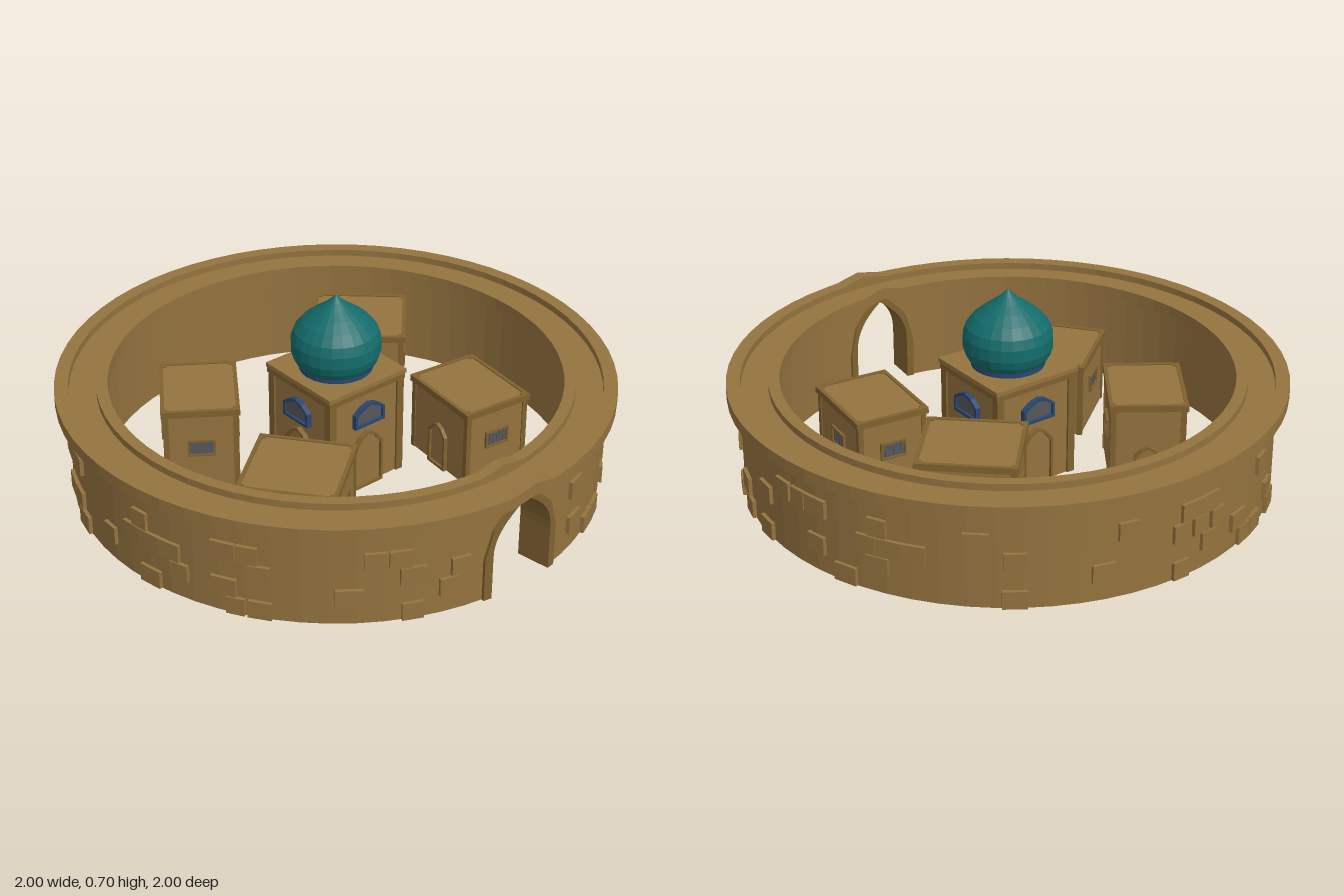
import * as THREE from 'three';

const mat = (color) => new THREE.MeshStandardMaterial({ color, flatShading: true });
const sand = mat(0x94733f), sandDark = mat(0x80622f), teal = mat(0x146c6c), blue = mat(0x2a4670), glass = mat(0x55575a);

function add(parent, name, geometry, material, x = 0, y = 0, z = 0) {
  const m = new THREE.Mesh(geometry, material);
  m.name = name;
  m.position.set(x, y, z);
  parent.add(m);
  return m;
}
const box = (w, h, d) => new THREE.BoxGeometry(w, h, d);

// Sweeps rectangular sections {a, r0, r1, y0, y1} around the vertical axis
function sweep(cols) {
  const pos = [];
  const corners = ({ a, r0, r1, y0, y1 }) => [[r0, y0], [r1, y0], [r1, y1], [r0, y1]]
    .map(([r, y]) => [r * Math.cos(a), y, -r * Math.sin(a)]);
  for (let k = 0; k + 1 < cols.length; k++) {
    const A = corners(cols[k]), B = corners(cols[k + 1]);
    for (let i = 0; i < 4; i++) {
      const j = (i + 1) % 4;
      pos.push(...A[i], ...B[i], ...B[j], ...A[i], ...B[j], ...A[j]);
    }
  }
  const g = new THREE.BufferGeometry();
  g.setAttribute('position', new THREE.Float32BufferAttribute(pos, 3));
  g.computeVertexNormals();
  return g;
}

// Pointed arch height at angle a from the gate axis
const GATE = 0.145, FRAME = 0.17;
const arch = (a, half, peak) =>
  0.16 + (peak - 0.16) * Math.pow(Math.max(0, 1 - Math.abs(a) / half), 0.42);
const spread = (from, to, n) => Array.from({ length: n + 1 }, (_, i) => from + (to - from) * i / n);
// Angles across the gate, closer together near the springing
const gateAngles = (half) => spread(-Math.PI / 2, Math.PI / 2, 20).map((t) => half * Math.sin(t));

function ringWall(root) {
  const g = new THREE.Group();
  g.name = 'ringWall';
  root.add(g);
  const round = spread(GATE, 2 * Math.PI - GATE, 62);

  // Wall body with the gate opening
  const body = (a, y0) => ({ a, r0: 0.85, r1: 0.955, y0, y1: 0.375 });
  add(g, 'wallBody', sweep([
    ...round.map((a) => body(a, 0)),
    ...gateAngles(GATE).map((a) => body(a, arch(a, GATE, 0.355))),
    body(GATE, 0),
  ]), sand);

  // Two rims along the top, rising to a low peak over the gate
  const hump = (a) => 0.02 * Math.max(0, 1 - Math.abs(a) / 0.1);
  const rimAngles = [...round, ...spread(-GATE, GATE, 16)];
  for (const [name, r0, r1] of [['innerRim', 0.812, 0.853], ['outerRim', 0.95, 1]]) {
    add(g, name, sweep(rimAngles.map((a) =>
      ({ a, r0, r1, y0: 0.355 + hump(a), y1: 0.4 + hump(a) }))), sand);
  }

  // Gate frame
  const inner = GATE - 0.008;
  const frame = (a, y0, y1 = arch(a, FRAME, 0.374)) => ({ a, r0: 0.84, r1: 0.966, y0, y1 });
  add(g, 'gateFrame', sweep([
    frame(-FRAME, 0, 0), frame(-FRAME, 0), frame(-inner, 0),
    ...gateAngles(inner).map((a) => frame(a, arch(a, inner, 0.35))),
    frame(inner, 0), frame(FRAME, 0), frame(FRAME, 0, 0),
  ]), sandDark);

  // Scattered raised stones in four courses
  let seed = 11;
  const rand = () => (seed = (seed * 16807) % 2147483647) / 2147483647;
  for (let row = 0; row < 4; row++) {
    for (let i = 0; i < 72; i++) {
      const pick = rand(), width = 0.065 + 0.03 * rand();
      const a = ((i + 0.5 * (row % 2)) / 72) * Math.PI * 2;
      if (pick > 0.29 || Math.cos(a) > Math.cos(0.23)) continue;
      const s = add(g, 'wallStone', box(0.03, 0.066, width), sand,
        0.952 * Math.cos(a), 0.035 + row * 0.07, -0.952 * Math.sin(a));
      s.rotation.y = a;
    }
  }
}

// Five-sided pointed outline standing on y = 0
function pointed(w, h, shoulder, inset = 0) {
  const s = new THREE.Shape();
  const x = w / 2 - inset;
  s.moveTo(-x, inset);
  s.lineTo(x, inset);
  s.lineTo(x, shoulder - inset * 0.5);
  s.lineTo(x * 0.5, h - (h - shoulder) * 0.3 - inset);
  s.lineTo(0, h - inset);
  s.lineTo(-x * 0.5, h - (h - shoulder) * 0.3 - inset);
  s.lineTo(-x, shoulder - inset * 0.5);
  s.closePath();
  return s;
}
const extrude = (shape, depth) => new THREE.ExtrudeGeometry(shape, { depth, bevelEnabled: false });

// Framed pointed panel used for doors and tower windows
function pointedPanel(parent, name, w, h, shoulder, y, z, frameMat, fillMat) {
  const ring = pointed(w, h, shoulder);
  ring.holes.push(pointed(w, h, shoulder, 0.01));
  add(parent, name + 'Frame', extrude(ring, 0.02), frameMat, 0, y, z);
  add(parent, name, extrude(pointed(w, h, shoulder, 0.008), 0.01), fillMat, 0, y, z);
}

// Square rim of four bars
function squareRim(parent, name, w, d, y, h, t) {
  for (const s of [-1, 1]) {
    add(parent, name, box(w, h, t), sandDark, 0, y, s * (d - t) / 2);
    add(parent, name, box(t, h, d - 2 * t), sandDark, s * (w - t) / 2, y, 0);
  }
}

function house(root, x, z, w, d, h, turn) {
  const g = new THREE.Group();
  g.name = 'house';
  g.position.set(x, 0, z);
  g.rotation.y = turn;
  root.add(g);
  const bw = w - 0.02, bd = d - 0.02;
  add(g, 'houseBody', box(bw, h - 0.004, bd), sand, 0, (h - 0.004) / 2, 0);
  squareRim(g, 'roofEdge', w, d, h - 0.012, 0.024, 0.014);
  for (const sx of [-1, 1]) for (const sz of [-1, 1]) {
    add(g, 'cornerPost', box(0.02, h, 0.02), sandDark, sx * (bw / 2 - 0.006), h / 2, sz * (bd / 2 - 0.006));
  }
  pointedPanel(g, 'houseDoor', 0.1, 0.18, 0.14, 0, bd / 2 - 0.005, sandDark, sand);
  // Barred windows on the other three sides
  for (let i = 1; i < 4; i++) {
    const side = new THREE.Group();
    side.name = 'houseWindow';
    side.rotation.y = i * Math.PI / 2;
    g.add(side);
    const out = (i % 2 ? bw : bd) / 2, y = h * 0.55;
    add(side, 'windowPane', box(0.086, 0.05, 0.008), glass, 0, y, out);
    for (const s of [-1, 1]) {
      add(side, 'windowTrim', box(0.1, 0.008, 0.02), sandDark, 0, y + s * 0.029, out);
      add(side, 'windowTrim', box(0.008, 0.05, 0.02), sandDark, s * 0.046, y, out);
    }
    for (let b = -2; b <= 2; b++) add(side, 'windowBar', box(0.003, 0.05, 0.012), glass, b * 0.015, y, out);
  }
}

function tower(root) {
  const g = new THREE.Group();
  g.name = 'tower';
  root.add(g);
  add(g, 'towerBody', box(0.328, 0.405, 0.328), sand, 0, 0.2025, 0);
  add(g, 'towerRoof', box(0.356, 0.016, 0.356), sand, 0, 0.41, 0);
  squareRim(g, 'towerCornice', 0.35, 0.35, 0.392, 0.024, 0.014);
  for (const sx of [-1, 1]) for (const sz of [-1, 1]) {
    add(g, 'towerPost', box(0.03, 0.4, 0.03), sandDark, sx * 0.157, 0.2, sz * 0.157);
  }
  for (let i = 0; i < 4; i++) {
    const side = new THREE.Group();
    side.name = 'towerSide';
    side.rotation.y = i * Math.PI / 2;
    g.add(side);
    pointedPanel(side, 'towerDoor', 0.135, 0.228, 0.17, 0, 0.163, sandDark, sand);
    pointedPanel(side, 'towerWindow', 0.135, 0.09, 0.055, 0.26, 0.17, blue, glass);
  }
  // Onion dome on a blue collar
  add(g, 'domeCollar', new THREE.CylinderGeometry(0.133, 0.133, 0.024, 24), blue, 0, 0.43, 0);
  const profile = [[0, 0.436], [0.137, 0.436], [0.152, 0.46], [0.161, 0.49], [0.161, 0.535], [0.15, 0.57],
    [0.122, 0.605], [0.085, 0.635], [0.05, 0.66], [0.025, 0.68], [0, 0.705]];
  add(g, 'dome', new THREE.LatheGeometry(profile.map(([r, y]) => new THREE.Vector2(r, y)), 24), teal);
}

export function createModel() {
  const root = new THREE.Group();
  root.name = 'walledSettlement';
  ringWall(root);
  tower(root);
  house(root, 0.26, -0.415, 0.35, 0.28, 0.3, -0.12);
  house(root, -0.305, 0.385, 0.28, 0.35, 0.34, -2.18);
  house(root, 0.26, 0.39, 0.35, 0.35, 0.285, 0.66);
  house(root, -0.318, -0.385, 0.35, 0.34, 0.355, 0.83);
  return root;
}
